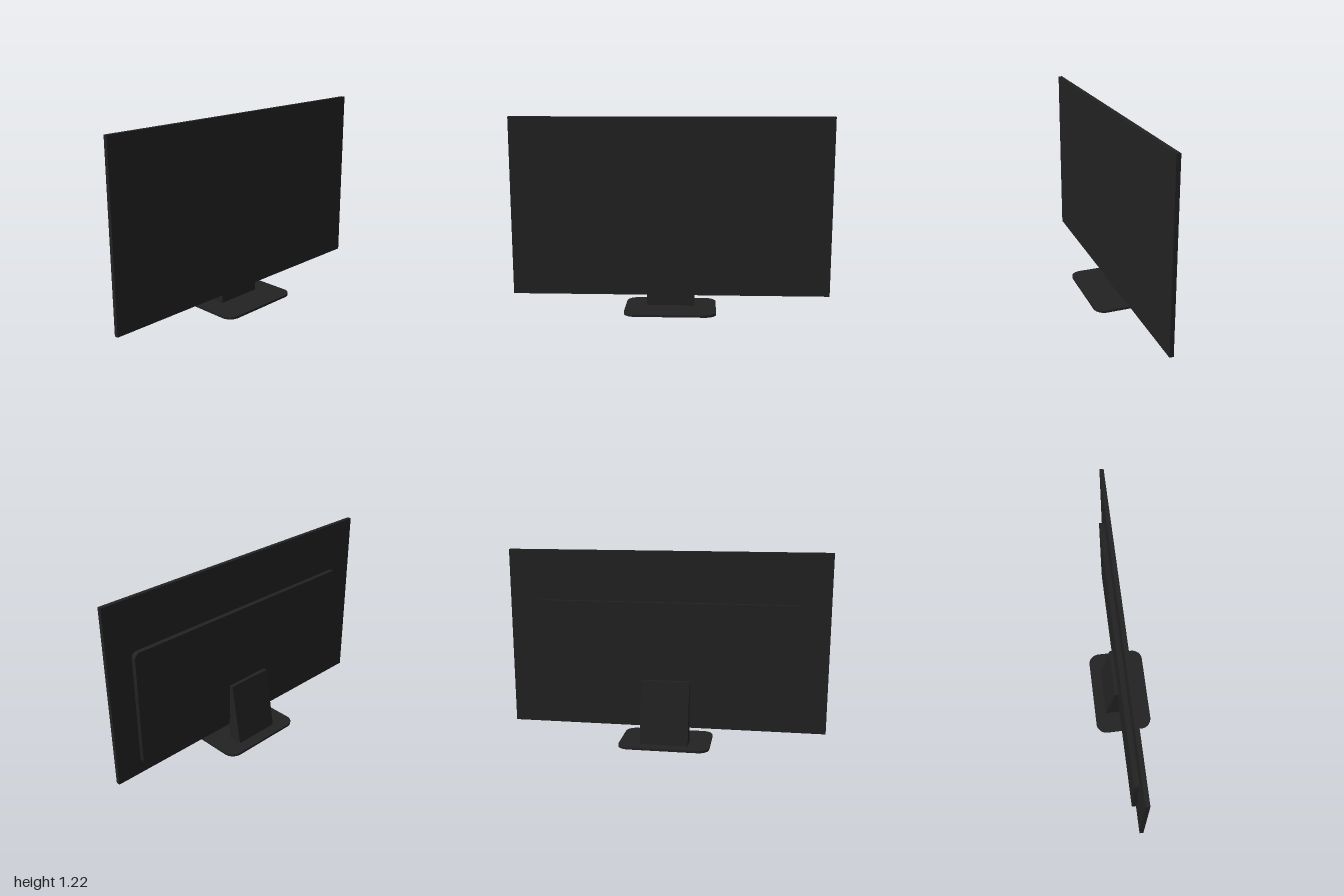
import * as THREE from 'three';
import { toCreasedNormals } from 'three/addons/utils/BufferGeometryUtils.js';

const black = new THREE.MeshStandardMaterial({ color: 0x222222 });
black.name = 'matte black plastic';

// Rectangle outline centred on the origin with rounded corners
function roundedRect(w, h, r) {
  const s = new THREE.Shape();
  const x = w / 2 - r, y = h / 2 - r;
  s.absarc(x, y, r, 0, Math.PI / 2);
  s.absarc(-x, y, r, Math.PI / 2, Math.PI);
  s.absarc(-x, -y, r, Math.PI, Math.PI * 1.5);
  s.absarc(x, -y, r, Math.PI * 1.5, Math.PI * 2);
  s.closePath();
  return s;
}

function extrude(shape, depth) {
  return new THREE.ExtrudeGeometry(shape, { depth, bevelEnabled: false, curveSegments: 10 });
}

export function createModel() {
  const model = new THREE.Group();
  model.name = 'television';
  const add = (name, geometry) => {
    const mesh = new THREE.Mesh(toCreasedNormals(geometry, 0.6), black);
    mesh.name = name;
    model.add(mesh);
  };

  // Thin screen panel
  add('screenPanel', new THREE.BoxGeometry(2, 1.12, 0.025).translate(0, 0.656, 0.0175));

  // Raised housing on the back, with rounded corners
  add('backHousing', extrude(roundedRect(1.68, 0.737, 0.035), 0.031).translate(0, 0.533, -0.025));

  // Wedge-shaped stand neck: side profile of (-z, y), extruded across x
  const profile = new THREE.Shape([
    [0.019, 0.01], [0.115, 0.01], [0.049, 0.41], [0.019, 0.41],
  ].map(([a, b]) => new THREE.Vector2(a, b)));
  add('standNeck', extrude(profile, 0.304).rotateY(Math.PI / 2).translate(-0.152, 0, 0));

  // Flat rounded foot
  add('standBase', extrude(roundedRect(0.576, 0.376, 0.07), 0.014).rotateX(-Math.PI / 2));

  return model;
}
